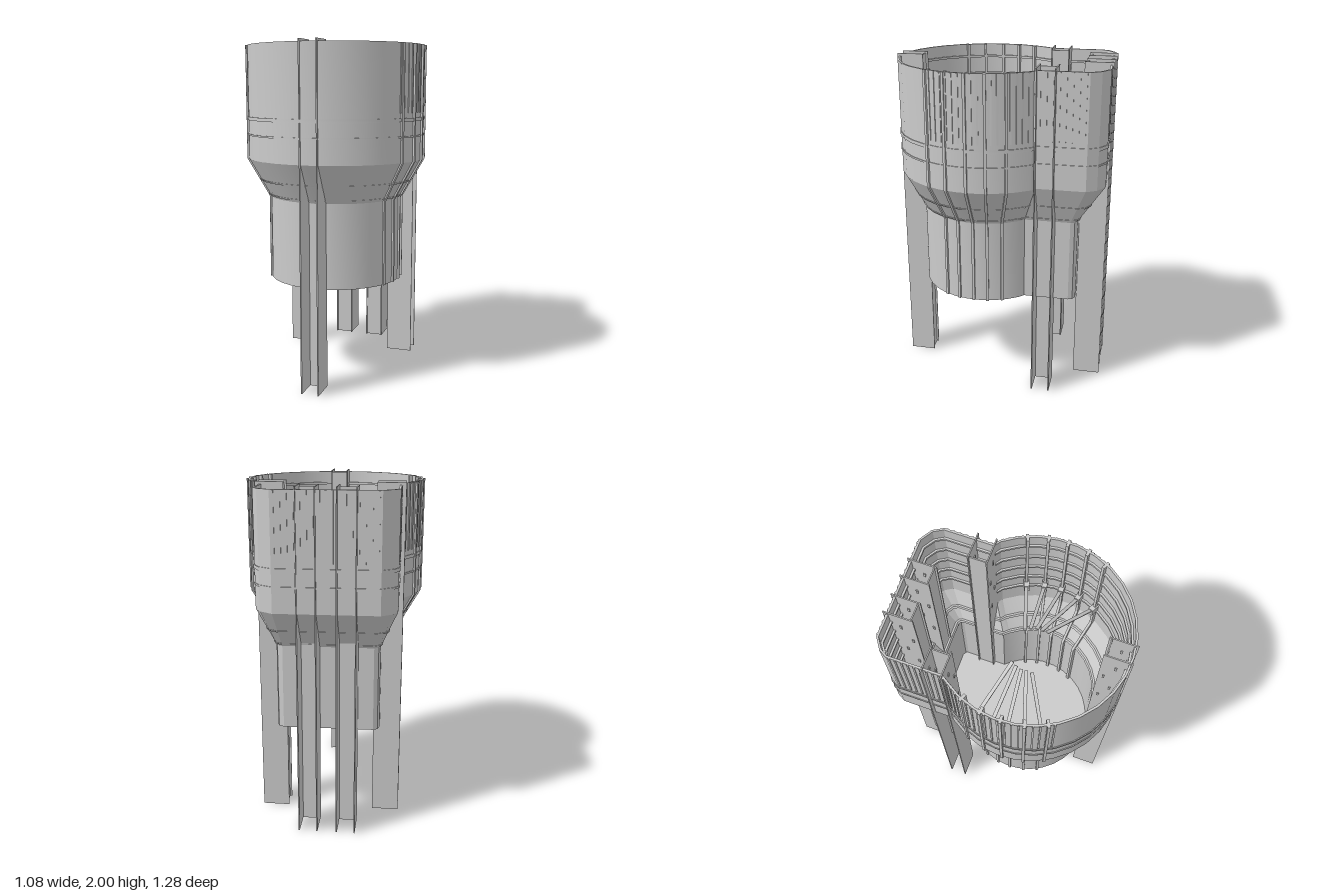
import * as THREE from 'three';
import { toCreasedNormals } from 'three/addons/utils/BufferGeometryUtils.js';

const mat = new THREE.MeshStandardMaterial({ color: 0xcccccc });
const matDouble = new THREE.MeshStandardMaterial({ color: 0xcccccc, side: THREE.DoubleSide });

const CZ = 0.105, R_TOP = 0.53, R_BOTTOM = 0.4;      // round chamber
const Y_FLOOR = 0.59, Y_NECK = 1.09, Y_SHOULDER = 1.32, Y_RIM = 1.985, WALL = 0.012;

// square bay at the back, wide (top) and narrow (bottom) corner points
const BAY_TOP = [[-0.41, -0.23], [-0.41, -0.53], [-0.385, -0.575], [-0.32, -0.62],
  [0.27, -0.633], [0.345, -0.59], [0.38, -0.53], [0.38, -0.245]];
const BAY_BOTTOM = [[-0.31, -0.16], [-0.315, -0.43], [-0.305, -0.455], [-0.28, -0.47],
  [0.245, -0.48], [0.275, -0.465], [0.285, -0.44], [0.285, -0.17]];

// keyhole outline: t = 0 wide, t = 1 narrow, moved outward by off
function outline(t, off = 0) {
  const lerp = THREE.MathUtils.lerp, pts = [], n = 22;
  const r = lerp(R_TOP, R_BOTTOM, t);
  for (let i = 0; i <= n; i++) {
    const a = THREE.MathUtils.degToRad(lerp(-39, 217, i / n));
    pts.push([r * Math.cos(a), CZ + r * Math.sin(a)]);
  }
  BAY_TOP.forEach((p, i) => pts.push([lerp(p[0], BAY_BOTTOM[i][0], t), lerp(p[1], BAY_BOTTOM[i][1], t)]));
  return pts.map((p, i) => {
    const a = pts[(i + pts.length - 1) % pts.length], b = pts[(i + 1) % pts.length];
    const dx = b[0] - a[0], dz = b[1] - a[1], l = Math.hypot(dx, dz);
    return [p[0] + dz / l * off, p[1] - dx / l * off];
  });
}

const narrowing = y => 1 - THREE.MathUtils.clamp((y - Y_NECK) / (Y_SHOULDER - Y_NECK), 0, 1);

// skin a list of [height, offset] rows around the outline
function skin(rows) {
  const pos = [], idx = [];
  let n = 0;
  rows.forEach(([y, off]) => {
    const pts = outline(narrowing(y), off);
    n = pts.length;
    pts.forEach(([x, z]) => pos.push(x, y, z));
  });
  for (let j = 0; j + 1 < rows.length; j++) {
    for (let i = 0; i < n; i++) {
      const k = (i + 1) % n, a = j * n + i, b = j * n + k, c = b + n, d = a + n;
      idx.push(a, d, c, a, c, b);
    }
  }
  const g = new THREE.BufferGeometry();
  g.setAttribute('position', new THREE.Float32BufferAttribute(pos, 3));
  g.setIndex(idx);
  return toCreasedNormals(g, 0.32);
}

function add(parent, name, geo, material = mat) {
  const m = new THREE.Mesh(geo, material);
  m.name = name;
  parent.add(m);
  return m;
}

// two tall plates joined by a web near their inner edge; local +z points outward
function strut(name, x, z, length, gap, turn) {
  const g = new THREE.Group();
  g.name = name;
  for (const s of [-1, 1]) {
    add(g, 'strutPlate', new THREE.BoxGeometry(0.007, 2, length)).position.set(s * gap / 2, 1, 0);
    // small clips along the plate inside the upper shell
    for (let i = 0; i < 4; i++) {
      add(g, 'plateClip', new THREE.BoxGeometry(0.018, 0.03, 0.012))
        .position.set(s * gap / 2, 1.46 + i * 0.14, -length / 2 + 0.03 + (i % 2) * 0.05);
    }
  }
  add(g, 'strutWeb', new THREE.BoxGeometry(gap, 1.99, 0.007)).position.set(0, 0.995, -length / 2 + 0.015);
  g.position.set(x, 0, z);
  g.rotation.y = turn;
  return g;
}

// upright rib whose side shape follows the wall
function ribGeometry() {
  const out = 0.009, inn = 0.035;
  const wall = [[R_BOTTOM, Y_FLOOR], [R_BOTTOM, Y_NECK], [R_TOP, Y_SHOULDER], [R_TOP, Y_RIM]];
  const shape = new THREE.Shape([
    ...wall.map(([r, y]) => new THREE.Vector2(r + out, y)),
    ...wall.reverse().map(([r, y]) => new THREE.Vector2(r - inn, y)),
  ]);
  const g = new THREE.ExtrudeGeometry(shape, { depth: 0.016, bevelEnabled: false });
  return g.translate(0, 0, -0.008);
}

export function createModel() {
  const model = new THREE.Group();

  // wall, outside and inside, and the floor
  add(model, 'shell', skin([
    [Y_FLOOR, 0], [Y_NECK, 0], [Y_SHOULDER, 0], [Y_RIM, 0],
    [Y_RIM, -WALL], [Y_SHOULDER, -WALL], [Y_NECK, -WALL], [Y_FLOOR, -WALL],
  ]));
  const floorShape = new THREE.Shape(outline(1).map(([x, z]) => new THREE.Vector2(x, -z)));
  add(model, 'floor', new THREE.ShapeGeometry(floorShape).rotateX(-Math.PI / 2), matDouble)
    .position.y = Y_FLOOR;

  // thin bands outside and inside
  for (const y of [1.1, 1.19, 1.46, 1.55]) {
    const h = y === 1.55 ? 0.02 : 0.01;
    add(model, 'outerBand', skin([[y, 0], [y, 0.005], [y + h, 0.005], [y + h, 0]]));
  }
  for (const y of [1.1, 1.2, 1.46, 1.57, 1.68, 1.79, 1.9]) {
    const h = 0.014;
    add(model, 'innerBand', skin([[y + h, -WALL], [y + h, -0.024], [y, -0.024], [y, -WALL]]));
  }

  // ribs around both flanks, each with an arm reaching to the middle
  const rib = ribGeometry();
  const ribAngles = [-22.8, -10.3, 1.6, 14.7, 27.5];
  const tips = [[0.1, 0.028], [0.115, 0.055], [0.125, 0.088], [0.125, 0.115], [0.125, 0.148]];
  for (const side of [1, -1]) {
    ribAngles.forEach((deg, i) => {
      const a = THREE.MathUtils.degToRad(deg);
      const m = add(model, 'rib', rib);
      m.position.z = CZ;
      m.rotation.y = side > 0 ? -a : Math.PI + a;

      const from = new THREE.Vector3(side * 0.5 * Math.cos(a), 1.5, CZ + 0.5 * Math.sin(a));
      const to = new THREE.Vector3(side * tips[i][0], 1.68, tips[i][1]);
      const arm = add(model, 'arm', new THREE.BoxGeometry(0.02, 0.008, from.distanceTo(to)));
      arm.position.copy(from).add(to).multiplyScalar(0.5);
      arm.lookAt(to);
      const block = add(model, 'armBlock', new THREE.BoxGeometry(0.055, 0.06, 0.032));
      block.position.set(side * 0.495 * Math.cos(a), 1.5, CZ + 0.495 * Math.sin(a));
      block.rotation.y = -side * a;
    });
  }

  // narrow upright slats on the upper flanks and the bay
  const slat = new THREE.BoxGeometry(0.009, 0.385, 0.01);
  const edge = outline(0);
  edge.forEach((p, i) => {
    const q = edge[(i + 1) % edge.length];
    const dx = q[0] - p[0], dz = q[1] - p[1], length = Math.hypot(dx, dz);
    const midZ = (p[1] + q[1]) / 2;
    const chamfer = midZ < -0.5 && Math.abs(dx) < 0.2;
    if (midZ > 0.36 || chamfer) return;
    const n = Math.max(1, Math.round(length / 0.035));
    for (let k = 0; k < n; k++) {
      const f = (k + 0.5) / n;
      const m = add(model, 'slat', slat);
      m.position.set(p[0] + dx * f, 1.79, p[1] + dz * f);
      m.rotation.y = Math.atan2(dx, dz);
    }
  });

  // tall struts passing down through the wall
  model.add(
    strut('frontStrut', 0.018, 0.5625, 0.155, 0.1, 0),
    strut('backStrut', -0.135, -0.5575, 0.165, 0.105, Math.PI),
    strut('backStrut', 0.085, -0.5575, 0.165, 0.105, Math.PI),
    strut('leftStrut', 0.325, -0.295, 0.16, 0.105, Math.PI / 2),
    strut('rightStrut', -0.355, -0.283, 0.16, 0.105, -Math.PI / 2),
  );
  return model;
}
